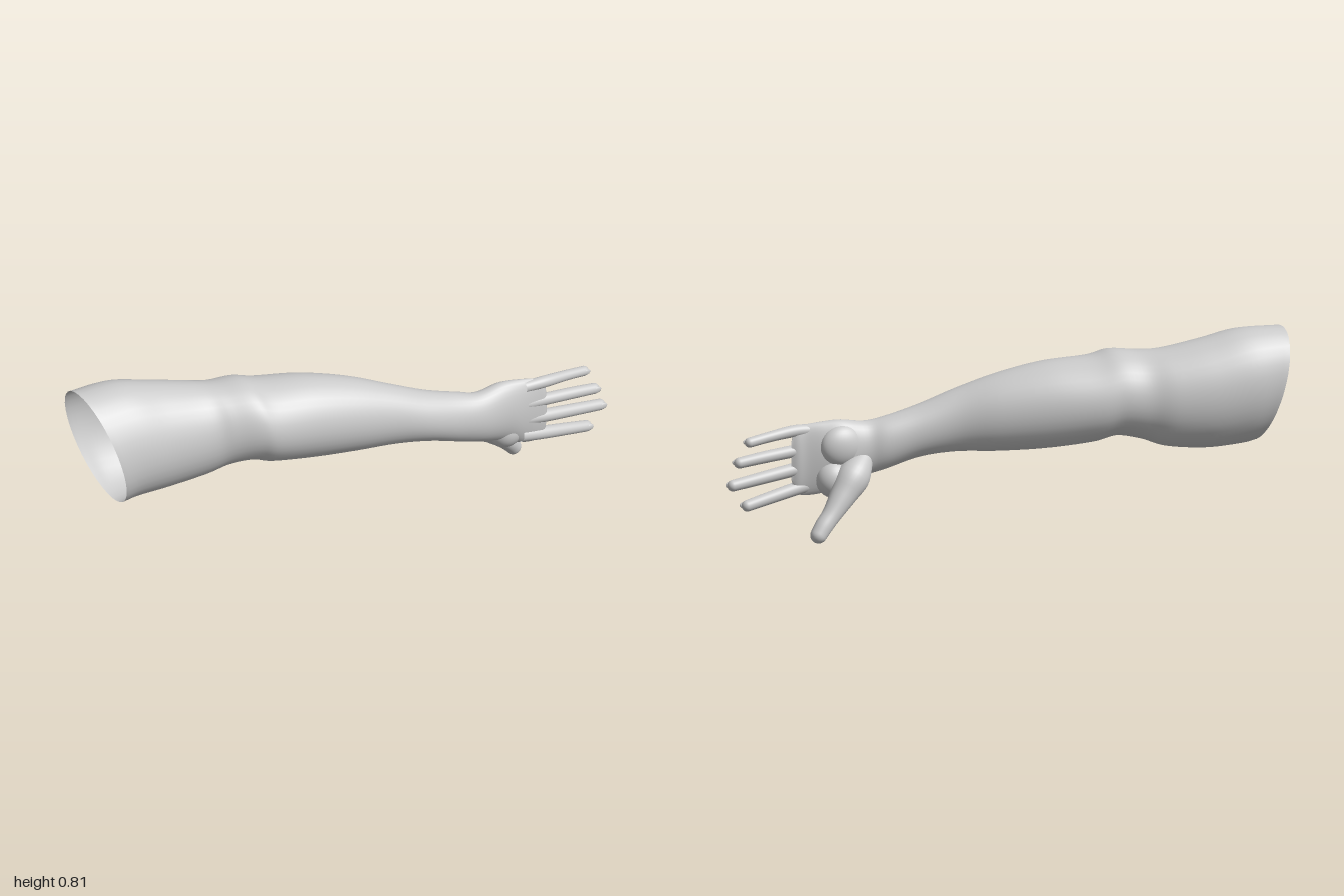
import * as THREE from 'three';

const V = (x, y, z) => new THREE.Vector3(x, y, z);
const SIDES = 36;

// Skin a list of elliptical rings { c, u, v } into one smooth surface
function skin(rings) {
  const pos = [], idx = [];
  rings.forEach(({ c, u, v }, i) => {
    for (let j = 0; j < SIDES; j++) {
      const t = (j / SIDES) * Math.PI * 2;
      const p = c.clone().addScaledVector(u, Math.cos(t)).addScaledVector(v, Math.sin(t));
      pos.push(p.x, p.y, p.z);
      if (i === 0) continue;
      const k = (j + 1) % SIDES, a = (i - 1) * SIDES, b = i * SIDES;
      idx.push(a + j, b + j, a + k, a + k, b + j, b + k);
    }
  });
  const g = new THREE.BufferGeometry();
  g.setAttribute('position', new THREE.Float32BufferAttribute(pos, 3));
  g.setIndex(idx);
  g.computeVertexNormals();
  return g;
}

// Smoothly resample key rings
function refine(keys, steps) {
  const [c, u, v] = ['c', 'u', 'v'].map(
    (n) => new THREE.CatmullRomCurve3(keys.map((k) => k[n]), false, 'catmullrom', 0.5));
  return Array.from({ length: steps + 1 }, (_, i) => {
    const t = i / steps;
    return { c: c.getPoint(t), u: u.getPoint(t), v: v.getPoint(t) };
  });
}

// Finger: round sections [x, y, z, radius] along a path with a domed tip
function digit(points) {
  const path = new THREE.CatmullRomCurve3(points.map((p) => V(p[0], p[1], p[2])));
  const frame = (t, c, r) => {
    const d = path.getTangent(t);
    const v = V(0, 1, 0).addScaledVector(d, -d.y).normalize();
    return { c, u: d.clone().cross(v).multiplyScalar(r), v: v.multiplyScalar(r) };
  };
  const radii = new THREE.CatmullRomCurve3(points.map((p, i) => V(i, p[3], 0)), false, 'catmullrom', 0.5);
  const rings = [];
  for (let i = 0; i <= 24; i++) rings.push(frame(i / 24, path.getPoint(i / 24), radii.getPoint(i / 24).y));
  const end = path.getPoint(1), dir = path.getTangent(1), r = points.at(-1)[3];
  for (let i = 1; i <= 7; i++) {
    const a = (i / 7) * Math.PI * 0.497;
    rings.push(frame(1, end.clone().addScaledVector(dir, r * Math.sin(a)), r * Math.cos(a)));
  }
  return skin(rings);
}

export function createModel() {
  const group = new THREE.Group();
  const material = new THREE.MeshStandardMaterial({ color: 0xcccccc, side: THREE.DoubleSide });
  const add = (name, geometry) => {
    const m = new THREE.Mesh(geometry, material);
    m.name = name;
    group.add(m);
    return m;
  };

  // Arm and palm: inner x,z / outer x,z / top y / bottom y / tilt of the section
  const sections = [
    [-0.66, 0.75, -0.28, 0.88, 0.81, 0.313, -0.035],
    [-0.58, 0.61, -0.22, 0.75, 0.777, 0.308, -0.02],
    [-0.48, 0.48, -0.14, 0.60, 0.742, 0.325, -0.01],
    [-0.40, 0.40, -0.08, 0.53, 0.733, 0.358, 0],
    [-0.34, 0.31, 0.00, 0.455, 0.737, 0.374, 0],
    [-0.28, 0.22, 0.05, 0.39, 0.713, 0.35, 0],
    [-0.15, 0.07, 0.14, 0.235, 0.695, 0.328, 0],
    [0.00, -0.08, 0.225, 0.08, 0.65, 0.32, 0],
    [0.14, -0.20, 0.305, -0.07, 0.588, 0.32, 0],
    [0.24, -0.32, 0.38, -0.20, 0.527, 0.302, 0],
    [0.315, -0.43, 0.445, -0.33, 0.485, 0.26, 0],
    [0.365, -0.485, 0.495, -0.43, 0.467, 0.235, 0],
    [0.41, -0.57, 0.535, -0.54, 0.482, 0.205, 0],
    [0.465, -0.635, 0.56, -0.61, 0.478, 0.172, 0],
    [0.52, -0.69, 0.583, -0.675, 0.468, 0.165, 0],
    [0.545, -0.725, 0.593, -0.713, 0.455, 0.18, 0],
    [0.567, -0.743, 0.571, -0.742, 0.40, 0.24, 0],
  ];
  const keys = sections.map(([lx, lz, rx, rz, top, bottom, tilt]) => ({
    c: V((lx + rx) / 2, (top + bottom) / 2, (lz + rz) / 2),
    u: V((rx - lx) / 2, tilt, (rz - lz) / 2),
    v: V(0, (top - bottom) / 2, 0),
  }));
  // Slanted open rim at the upper arm
  keys.unshift({ c: V(-0.515, 0.563, 0.93), u: V(0.187, -0.045, 0.055), v: V(-0.03, 0.245, 0.045) });
  add('armAndPalm', skin(refine(keys, 96)));

  // Fingers: knuckle, base, middle joint, tip
  const fingers = {
    littleFinger: [[0.535, 0.442, -0.64, 0.024], [0.575, 0.442, -0.72, 0.025], [0.61, 0.43, -0.83, 0.022], [0.636, 0.417, -0.915, 0.021]],
    ringFinger: [[0.54, 0.365, -0.64, 0.028], [0.58, 0.355, -0.73, 0.026], [0.63, 0.341, -0.85, 0.025], [0.668, 0.328, -0.943, 0.023]],
    middleFinger: [[0.54, 0.29, -0.64, 0.028], [0.58, 0.275, -0.73, 0.028], [0.634, 0.252, -0.87, 0.026], [0.674, 0.235, -0.974, 0.024]],
    indexFinger: [[0.53, 0.215, -0.62, 0.03], [0.57, 0.195, -0.71, 0.028], [0.612, 0.167, -0.83, 0.026], [0.643, 0.145, -0.922, 0.024]],
  };
  for (const [name, points] of Object.entries(fingers)) {
    add(name, digit(points));
    // Fingernail on the back of the tip
    const [x, y, z, r] = points.at(-1);
    const nail = add(name + 'Nail', new THREE.SphereGeometry(1, 20, 12));
    nail.position.set(x + r * 0.72, y, z + r * 0.1);
    nail.scale.set(r * 0.3, r * 0.62, r * 0.95);
    nail.rotation.y = -0.36;
  }

  // Thumb with its fleshy base
  add('thumb', digit([
    [0.41, 0.33, -0.47, 0.035], [0.397, 0.255, -0.55, 0.07], [0.392, 0.185, -0.615, 0.056],
    [0.39, 0.115, -0.68, 0.041], [0.392, 0.07, -0.725, 0.038], [0.393, 0.038, -0.752, 0.035],
  ]));

  // Soft pads of the palm: heel on the little-finger side, web by the thumb
  const pad = (name, center, size, turn) => {
    const m = add(name, new THREE.SphereGeometry(1, 32, 20));
    m.position.set(...center);
    m.scale.set(...size);
    m.rotation.y = turn;
  };
  pad('palmHeel', [0.452, 0.375, -0.565], [0.055, 0.088, 0.095], -0.35);
  pad('thumbWeb', [0.468, 0.235, -0.595], [0.07, 0.08, 0.078], -0.35);

  return group;
}
